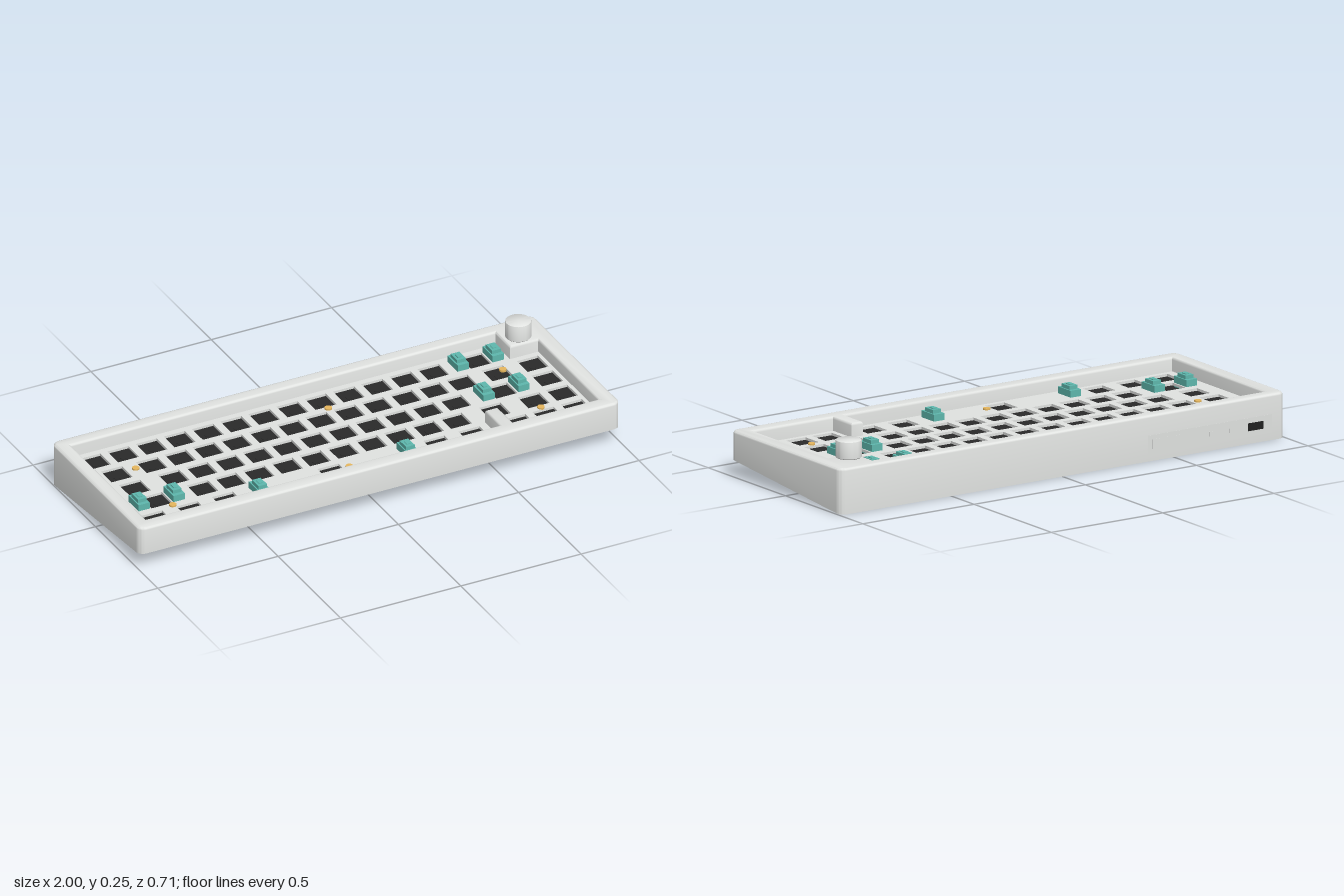
import * as THREE from 'three';
import { toCreasedNormals } from 'three/addons/utils/BufferGeometryUtils.js';

const U = 0.1172;                      // key pitch
const X0 = -0.938;                     // left edge of the key grid
const TOP = 0.176, PLATE = 0.122;      // rim height, switch plate height
const DEPTH = 0.3565;                  // half depth of the case
const keyX = (c) => X0 + U * c;
const rowZ = (r) => -0.235 + U * r;
const floorY = (z) => 0.0325 * (1 + z / DEPTH); // sloping underside

const range = (start, n) => Array.from({ length: n }, (_, i) => start + i);
const ROWS = [
  [...range(0.5, 13), 14],
  [0.75, ...range(2, 12), 14.25, 15.5],
  [0.875, ...range(2.25, 11), 13.875, 15.5],
  [1.125, ...range(2.75, 10), 13.125, 14.5, 15.5],
  [0.625, 1.875, 3.125, 6.875, 10.625, 11.875, 13.5, 14.5, 15.5],
];
// row, key centre, half spacing (in key units)
const STABILIZERS = [[0, 14, 0.62], [2, 13.875, 0.62], [3, 1.125, 0.62], [4, 6.875, 2.62]];
const SCREWS = [[-0.77, -0.12], [0.06, -0.178], [0.76, -0.128], [-0.77, 0.177], [-0.064, 0.23], [0.76, 0.177]];

// Rounded rectangle centred on the origin
function roundedRect(w, h, r) {
  const s = new THREE.Shape();
  s.absarc(w - r, h - r, r, 0, Math.PI / 2);
  s.absarc(-w + r, h - r, r, Math.PI / 2, Math.PI);
  s.absarc(-w + r, -h + r, r, Math.PI, Math.PI * 1.5);
  s.absarc(w - r, -h + r, r, Math.PI * 1.5, Math.PI * 2);
  s.closePath();
  return s;
}

// Closed path from floor-plan points [x, z]
function planPath(points) {
  return new THREE.Path(points.map(([x, z]) => new THREE.Vector2(x, -z)));
}

export function createModel() {
  const model = new THREE.Group();
  const mat = (name, color) => {
    const m = new THREE.MeshStandardMaterial({ color });
    m.name = name;
    return m;
  };
  const shell = mat('shell grey', 0xe1e3e1);
  const under = mat('underside grey', 0xb8b8b8);
  const board = mat('board black', 0x2a2a2a);
  const black = mat('rubber black', 0x202020);
  const teal = mat('stabilizer teal', 0x5fb8ae);
  const gold = mat('screw gold', 0xf2c062);

  const add = (name, geometry, material, x = 0, y = 0, z = 0, parent = model) => {
    const mesh = new THREE.Mesh(geometry, material);
    mesh.name = name;
    mesh.position.set(x, y, z);
    parent.add(mesh);
    return mesh;
  };
  const group = (name) => {
    const g = new THREE.Group();
    g.name = name;
    model.add(g);
    return g;
  };

  // Case: rim with the key opening, a solid knob corner and a small blocker
  const outline = roundedRect(1, DEPTH, 0.03);
  outline.holes.push(planPath([
    [-0.944, -0.304], [0.82, -0.304], [0.82, -0.186], [0.937, -0.186], [0.937, 0.297],
    [0.58, 0.297], [0.58, 0.177], [0.528, 0.177], [0.528, 0.297], [-0.944, 0.297],
  ]));
  const bevel = 0.01;
  let caseGeo = new THREE.ExtrudeGeometry(outline, {
    depth: 0.06, steps: 1, curveSegments: 8,
    bevelThickness: bevel, bevelSize: bevel, bevelOffset: -bevel, bevelSegments: 3,
  });
  caseGeo.rotateX(-Math.PI / 2);
  caseGeo.translate(0, TOP - 0.06 - bevel, 0);
  const p = caseGeo.attributes.position;
  for (let i = 0; i < p.count; i++) {
    if (p.getY(i) < 0.12) p.setY(i, floorY(p.getZ(i)) + 0.001);
  }
  caseGeo = toCreasedNormals(caseGeo, 0.6);
  add('case', caseGeo, shell);

  // Sloping underside
  const bottomGeo = new THREE.ShapeGeometry(roundedRect(1, DEPTH, 0.03), 8);
  bottomGeo.rotateX(Math.PI / 2);
  const b = bottomGeo.attributes.position;
  for (let i = 0; i < b.count; i++) b.setY(i, floorY(b.getZ(i)));
  bottomGeo.computeVertexNormals();
  add('underside', bottomGeo, under);

  // Rubber feet
  const feet = group('feet');
  for (const x of [-0.832, 0.832]) {
    for (const z of [-0.255, 0.275]) {
      const foot = add('foot', new THREE.BoxGeometry(0.175, 0.006, 0.036), black, x, floorY(z) + 0.0005, z, feet);
      foot.rotation.x = -Math.atan(0.0325 / DEPTH);
    }
  }

  // Switch plate with a square cut-out for each key
  const plate = roundedRect(0.96, 0.32, 0.01);
  const h = 0.0435;
  ROWS.forEach((row, r) => row.forEach((c) => {
    const x = keyX(c), z = rowZ(r);
    plate.holes.push(planPath([[x - h, z - h], [x + h, z - h], [x + h, z + h], [x - h, z + h]]));
  }));
  const plateGeo = new THREE.ExtrudeGeometry(plate, { depth: 0.01, bevelEnabled: false });
  plateGeo.rotateX(-Math.PI / 2);
  add('switchPlate', plateGeo, shell, 0, PLATE - 0.01, 0);

  // Circuit board below, with a round boss under each key
  add('circuitBoard', new THREE.BoxGeometry(1.92, 0.008, 0.64), board, 0, 0.102, 0);
  const sockets = group('sockets');
  const boss = new THREE.CylinderGeometry(0.012, 0.012, 0.003, 12);
  ROWS.forEach((row, r) => row.forEach((c) => {
    add('socketBoss', boss, board, keyX(c), 0.1065, rowZ(r), sockets);
  }));

  // Stabilizer housings
  const stabilizers = group('stabilizers');
  for (const [r, c, d] of STABILIZERS) {
    for (const s of [-1, 1]) {
      const x = keyX(c + s * d), z = rowZ(r);
      add('stabilizerBase', new THREE.BoxGeometry(0.047, 0.042, 0.082), teal, x, 0.127, z, stabilizers);
      add('stabilizerTop', new THREE.BoxGeometry(0.036, 0.014, 0.052), teal, x, 0.155, z, stabilizers);
      add('stabilizerStem', new THREE.BoxGeometry(0.016, 0.004, 0.024), teal, x, 0.163, z, stabilizers);
    }
  }

  // Plate screws
  const screws = group('screws');
  for (const [x, z] of SCREWS) {
    add('screw', new THREE.CylinderGeometry(0.014, 0.014, 0.008, 16), gold, x, PLATE + 0.002, z, screws);
  }

  // Rotary knob on its shaft
  const knob = group('knob');
  knob.position.set(keyX(15.5), 0, rowZ(0) + 0.001);
  add('knobShaft', new THREE.CylinderGeometry(0.018, 0.018, 0.02, 24), shell, 0, 0.176, 0, knob);
  const profile = [[0, 0.18], [0.046, 0.18], [0.049, 0.183], [0.049, 0.243], [0.048, 0.246], [0.045, 0.248], [0, 0.248]]
    .map(([x, y]) => new THREE.Vector2(x, y));
  const knobGeo = toCreasedNormals(new THREE.LatheGeometry(profile, 40), 0.6);
  add('knobCap', knobGeo, shell, 0, 0, 0, knob);

  // Back: port panel with label plate, toggles and socket
  const back = group('backPanel');
  const bar = (name, w, hh, material, x, z) =>
    add(name, new THREE.BoxGeometry(w, hh, 0.004), material, x, 0.065, z, back);
  bar('panel', 0.556, 0.07, shell, -0.66, -DEPTH + 0.0015);
  bar('labelPlate', 0.156, 0.036, shell, -0.48, -DEPTH + 0.001);
  for (const x of [-0.675, -0.765]) bar('toggle', 0.038, 0.018, shell, x, -DEPTH + 0.001);
  bar('port', 0.07, 0.03, black, -0.865, -DEPTH + 0.001);

  return model;
}
